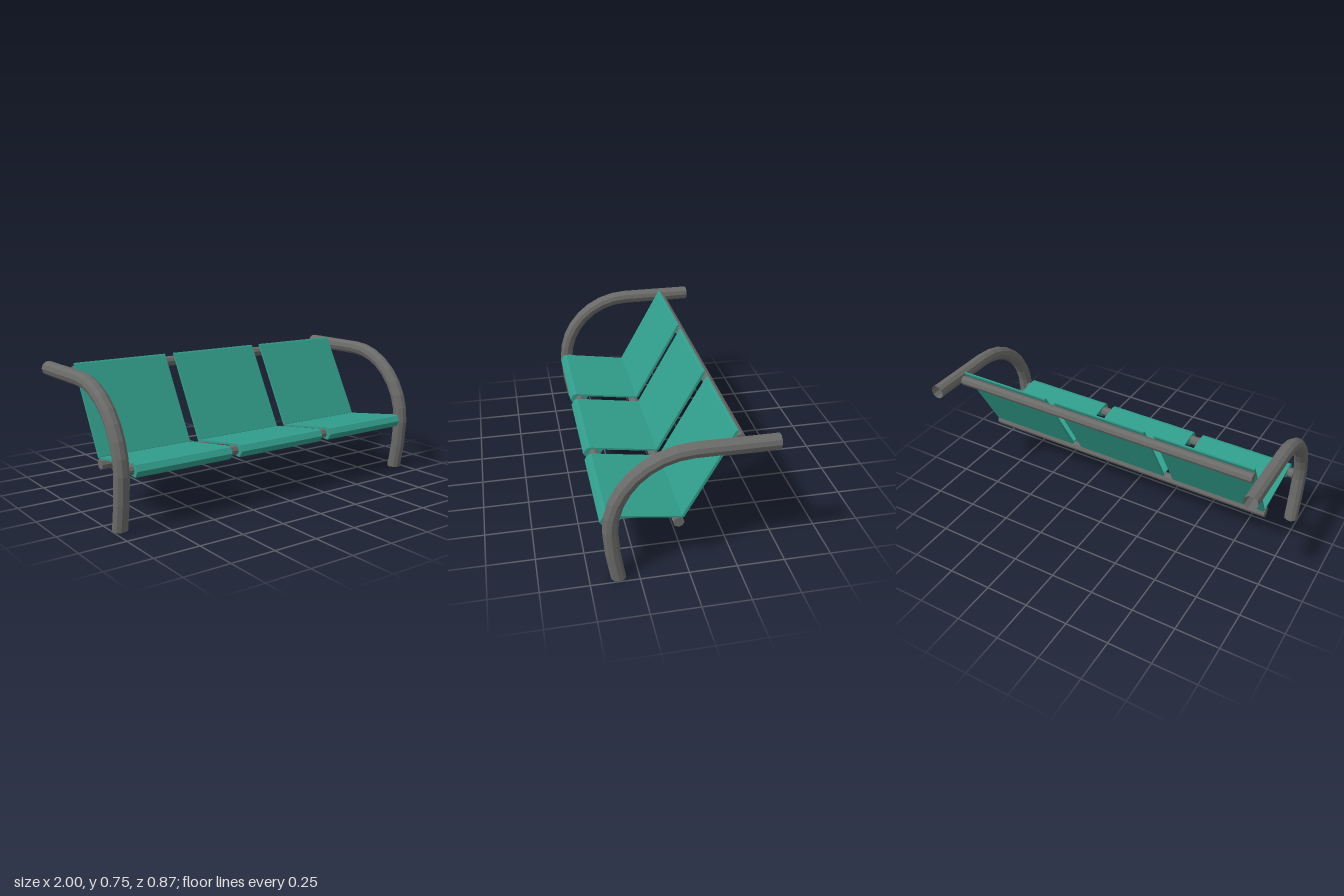
import * as THREE from 'three';

const OFFSET = 0.005; // seats and rails sit a hair off centre

// Ten-sided open pipe swept along points [z, y] in a vertical plane, with flat facets
function pipeGeometry(path, radius, sides) {
  const pts = path.map(([z, y]) => new THREE.Vector3(0, y, z));
  const rings = pts.map((p, i) => {
    const t = new THREE.Vector3();
    if (i > 0) t.add(p.clone().sub(pts[i - 1]).normalize());
    if (i < pts.length - 1) t.add(pts[i + 1].clone().sub(p).normalize());
    if (i === 0) t.set(0, 1, 0); // foot is cut level with the ground
    t.normalize();
    return Array.from({ length: sides }, (_, j) => {
      const a = (j / sides) * Math.PI * 2;
      const s = Math.sin(a) * radius;
      return [Math.cos(a) * radius, p.y + s * t.z, p.z - s * t.y];
    });
  });
  const pos = [];
  for (let i = 0; i < rings.length - 1; i++) {
    for (let j = 0; j < sides; j++) {
      const k = (j + 1) % sides;
      const a = rings[i][j], b = rings[i][k], c = rings[i + 1][j], d = rings[i + 1][k];
      pos.push(...a, ...b, ...c, ...b, ...d, ...c);
    }
  }
  const g = new THREE.BufferGeometry();
  g.setAttribute('position', new THREE.Float32BufferAttribute(pos, 3));
  g.computeVertexNormals();
  return g;
}

// Profile of [z, y] points extruded along x, centred on x = 0
function panelGeometry(profile, width) {
  const shape = new THREE.Shape(profile.map(([z, y]) => new THREE.Vector2(z, y)));
  const g = new THREE.ExtrudeGeometry(shape, { depth: width, bevelEnabled: false });
  return g.translate(0, 0, -width / 2).rotateY(-Math.PI / 2);
}

// Eight-sided solid bar along x
function railGeometry(radius, length) {
  const g = new THREE.CylinderGeometry(radius, radius, length, 8);
  const flat = g.rotateY(0.1).rotateZ(Math.PI / 2).toNonIndexed();
  flat.computeVertexNormals();
  return flat;
}

export function createModel() {
  const model = new THREE.Group();
  model.name = 'bench';
  const steel = new THREE.MeshStandardMaterial({ color: 0x6a6a69, side: THREE.DoubleSide });
  steel.name = 'grey steel';
  const teal = new THREE.MeshStandardMaterial({ color: 0x319d8b });
  teal.name = 'teal panel';

  const add = (name, geometry, material, x = 0, y = 0, z = 0) => {
    const mesh = new THREE.Mesh(geometry, material);
    mesh.name = name;
    mesh.position.set(x, y, z);
    model.add(mesh);
  };

  // Side frames: leg, quarter bend and straight armrest
  const path = [[0.354, 0], [0.378, 0.146]];
  for (let i = 0; i <= 8; i++) {
    const a = (i / 8) * Math.PI / 2;
    path.push([-0.021 + 0.41 * Math.cos(a), 0.289 + 0.411 * Math.sin(a)]);
  }
  path.push([-0.432, 0.7]);
  const frame = pipeGeometry(path, 0.04, 10);
  add('leftFrame', frame, steel, 0.96);
  add('rightFrame', frame, steel, -0.96);

  // Cross rails
  add('frontRail', railGeometry(0.028, 1.86), steel, 0, 0.305, 0.374);
  add('middleRail', railGeometry(0.029, 1.81), steel, OFFSET, 0.252, 0.038);
  add('backRail', railGeometry(0.028, 1.81), steel, OFFSET, 0.7, -0.253);

  // Seat panel with a lip folded around the front rail, and a leaning backrest
  const seat = panelGeometry([
    [0.015, 0.273], [0.322, 0.32], [0.355, 0.275], [0.41, 0.272],
    [0.433, 0.307], [0.414, 0.337], [0.394, 0.342], [0.02, 0.284],
  ], 0.561);
  const back = panelGeometry([
    [0.012, 0.275], [0.022, 0.286], [-0.229, 0.741],
    [-0.236, 0.748], [-0.243, 0.747], [-0.243, 0.738],
  ], 0.561);
  for (let i = -1; i <= 1; i++) {
    add('seat', seat, teal, OFFSET + i * 0.621);
    add('backrest', back, teal, OFFSET + i * 0.621);
  }
  return model;
}
